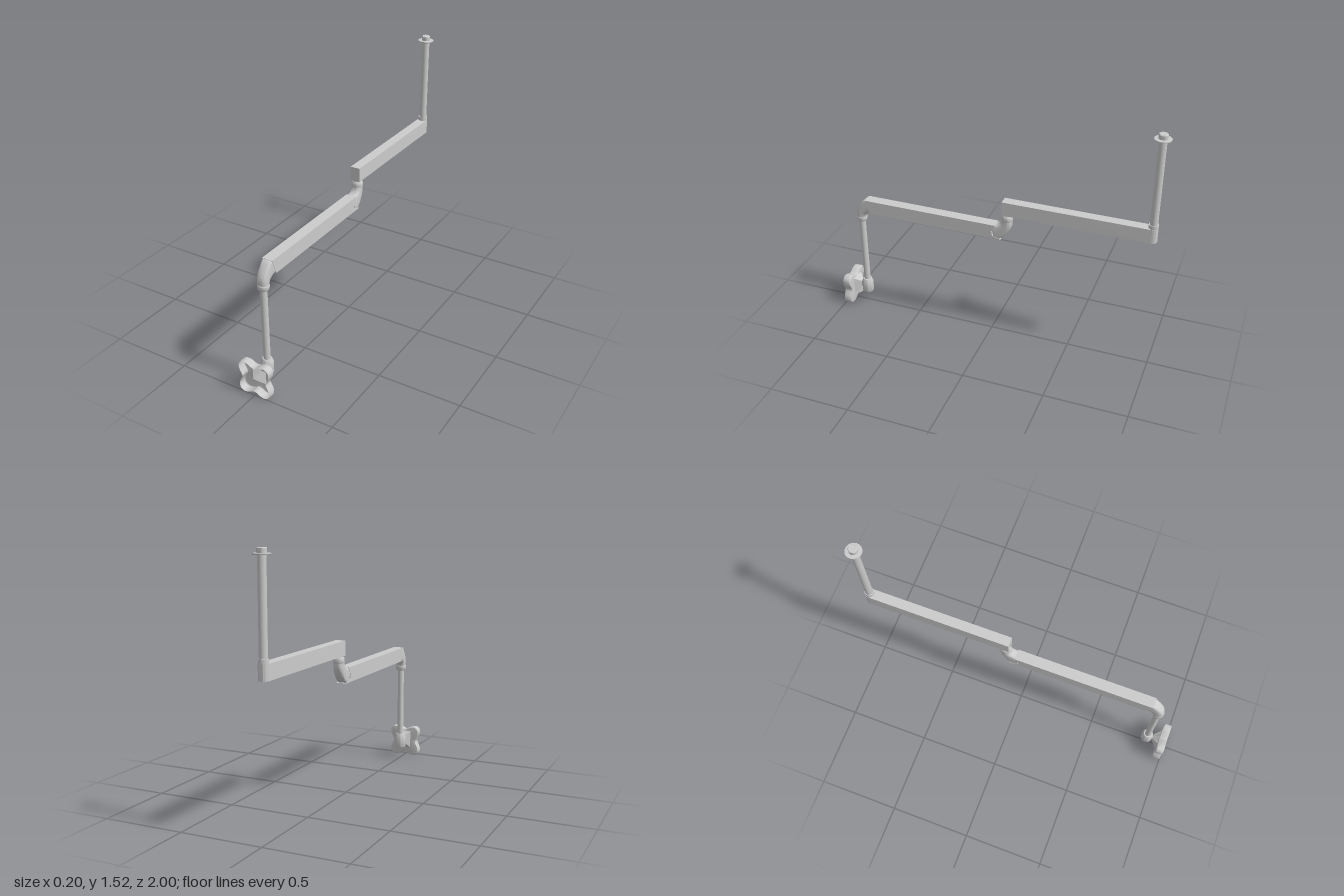
import * as THREE from 'three';
import { toCreasedNormals } from 'three/addons/utils/BufferGeometryUtils.js';

const solid = new THREE.MeshStandardMaterial({ color: 0xcccccc });
const thin = new THREE.MeshStandardMaterial({ color: 0xcccccc, side: THREE.DoubleSide });

function add(parent, name, geometry, x = 0, y = 0, z = 0, material = solid) {
  const mesh = new THREE.Mesh(geometry, material);
  mesh.name = name;
  mesh.position.set(x, y, z);
  parent.add(mesh);
  return mesh;
}

// Turned part from [radius, y] pairs, bottom to top
function turned(points, sides = 32) {
  const g = new THREE.LatheGeometry(points.map(([r, y]) => new THREE.Vector2(r, y)), sides);
  return toCreasedNormals(g, 0.6);
}

// Skin joining equal-length rings of Vector3, optionally capped
function loft(rings, capped) {
  const n = rings[0].length, index = [];
  const points = rings.flat();
  for (let i = 0; i < rings.length - 1; i++) {
    for (let j = 0; j < n; j++) {
      const a = i * n + j, b = i * n + (j + 1) % n;
      index.push(a, b, a + n, b, b + n, a + n);
    }
  }
  if (capped) {
    const last = (rings.length - 1) * n;
    for (let j = 1; j < n - 1; j++) {
      index.push(0, j + 1, j, last, last + j, last + j + 1);
    }
  }
  const g = new THREE.BufferGeometry().setFromPoints(points);
  g.setIndex(index);
  return toCreasedNormals(g, 0.6);
}

// Rounded-square curve: power 1 is a circle, smaller is squarer
const soft = (v, power) => Math.sign(v) * Math.abs(v) ** power;

// Arm side profile in [z, y], extruded across x
function sideExtrude(profile, width) {
  const shape = new THREE.Shape(profile.map(([z, y]) => new THREE.Vector2(-z, y)));
  const g = new THREE.ExtrudeGeometry(shape, { depth: width, bevelEnabled: false });
  g.translate(0, 0, -width / 2);
  g.rotateY(Math.PI / 2);
  return g;
}

// Bent joint with its collar, going from a vertical post into an arm
function makeElbow(name) {
  const group = new THREE.Group();
  group.name = name;
  add(group, 'collar', turned([
    [0, 0.618], [0.028, 0.618], [0.033, 0.626], [0.034, 0.648], [0.031, 0.653], [0, 0.653],
  ]), 0, 0, 0.872);
  const spline = (pts) => new THREE.CatmullRomCurve3(pts.map(([z, y]) => new THREE.Vector3(0, y, z)));
  const outer = spline([[0.903, 0.645], [0.9, 0.69], [0.874, 0.738], [0.832, 0.778], [0.8, 0.778]]);
  const inner = spline([[0.841, 0.645], [0.836, 0.667], [0.822, 0.683], [0.797, 0.692], [0.775, 0.692]]);
  const rings = [];
  for (let i = 0; i <= 16; i++) {
    const t = i / 16, a = outer.getPoint(t), b = inner.getPoint(t);
    const power = 1 - 0.75 * Math.min(1, t * 1.3);
    const ring = [];
    for (let j = 0; j < 32; j++) {
      const q = j / 32 * Math.PI * 2;
      const p = b.clone().lerp(a, 0.5 + 0.5 * soft(Math.cos(q), power));
      p.x = 0.0315 * soft(Math.sin(q), power);
      ring.push(p);
    }
    rings.push(ring);
  }
  add(group, 'bend', loft(rings, true), 0, 0, 0, thin);
  return group;
}

// Four-lobed open cup with a square funnel behind it
function makeFoot() {
  const lobed = (z, scale) => Array.from({ length: 64 }, (_, j) => {
    const q = j / 64 * Math.PI * 2, r = scale * (0.104 - 0.025 * Math.cos(4 * q));
    return new THREE.Vector3(r * Math.cos(q), 0.1025 + r * Math.sin(q), z);
  });
  const square = (z, w, h, y) => Array.from({ length: 64 }, (_, j) => {
    const q = j / 64 * Math.PI * 2;
    const k = 1 / Math.max(Math.abs(Math.cos(q)), Math.abs(Math.sin(q)));
    return new THREE.Vector3(w * k * Math.cos(q), y + h * k * Math.sin(q), z);
  });
  return loft([
    lobed(1, 0.98), lobed(0.995, 1), lobed(0.957, 1), lobed(0.951, 0.96), lobed(0.95, 0.9),
    square(0.948, 0.045, 0.058, 0.115), square(0.91, 0.014, 0.022, 0.123),
  ], false);
}

export function createModel() {
  const model = new THREE.Group();
  model.name = 'articulatedArm';

  // Foot plate, post socket and lower post
  add(model, 'footPlate', makeFoot(), 0, 0, 0, thin);
  add(model, 'postSocket', turned([
    [0, 0.077], [0.033, 0.077], [0.036, 0.082], [0.036, 0.15], [0.027, 0.172], [0, 0.172],
  ]), 0, 0, 0.872);
  add(model, 'lowerPost', new THREE.CylinderGeometry(0.02, 0.02, 0.47, 32), 0, 0.395, 0.872);

  // Lower arm with slanted front end and notched rear end
  add(model, 'lowerArm', sideExtrude([
    [0.83, 0.78], [0.797, 0.69], [-0.065, 0.69], [-0.04, 0.698],
    [-0.012, 0.71], [-0.008, 0.735], [-0.03, 0.78],
  ], 0.066));
  for (const z of [0.65, 0.46]) {
    for (const x of [-0.01, 0.01]) {
      add(model, 'armScrew', new THREE.CylinderGeometry(0.004, 0.004, 0.004, 12), x, 0.69, z);
    }
  }

  // The same elbow is used at both ends, turned over at the rear
  model.add(makeElbow('frontElbow'));
  const rearElbow = makeElbow('middleElbow');
  rearElbow.rotation.x = Math.PI;
  rearElbow.position.set(0, 1.47, 0.775);
  model.add(rearElbow);
  add(model, 'middlePivot', new THREE.CylinderGeometry(0.026, 0.026, 0.03, 32), 0, 0.85, -0.097);

  // Upper arm, rounded at the rear
  const plan = new THREE.Shape();
  plan.moveTo(-0.03, 0.07);
  plan.lineTo(0.03, 0.07);
  plan.lineTo(0.03, 0.95);
  plan.absarc(0, 0.95, 0.03, 0, Math.PI, false);
  plan.closePath();
  const upperArm = new THREE.ExtrudeGeometry(plan, { depth: 0.088, bevelEnabled: false, curveSegments: 24 });
  upperArm.rotateX(-Math.PI / 2);
  add(model, 'upperArm', toCreasedNormals(upperArm, 0.6), 0, 0.858, 0);

  // Upper post with base collar, flange and top nut
  add(model, 'upperPostCollar', new THREE.CylinderGeometry(0.028, 0.028, 0.024, 32), 0, 0.957, -0.952);
  add(model, 'upperPost', new THREE.CylinderGeometry(0.023, 0.023, 0.54, 32), 0, 1.215, -0.952);
  add(model, 'flange', turned([
    [0, 1.481], [0.04, 1.481], [0.048, 1.485], [0.048, 1.49], [0, 1.492],
  ]), 0, 0, -0.952);
  add(model, 'topNut', turned([
    [0, 1.488], [0.026, 1.488], [0.026, 1.514], [0.023, 1.518], [0, 1.518],
  ]), 0, 0, -0.952);

  return model;
}
